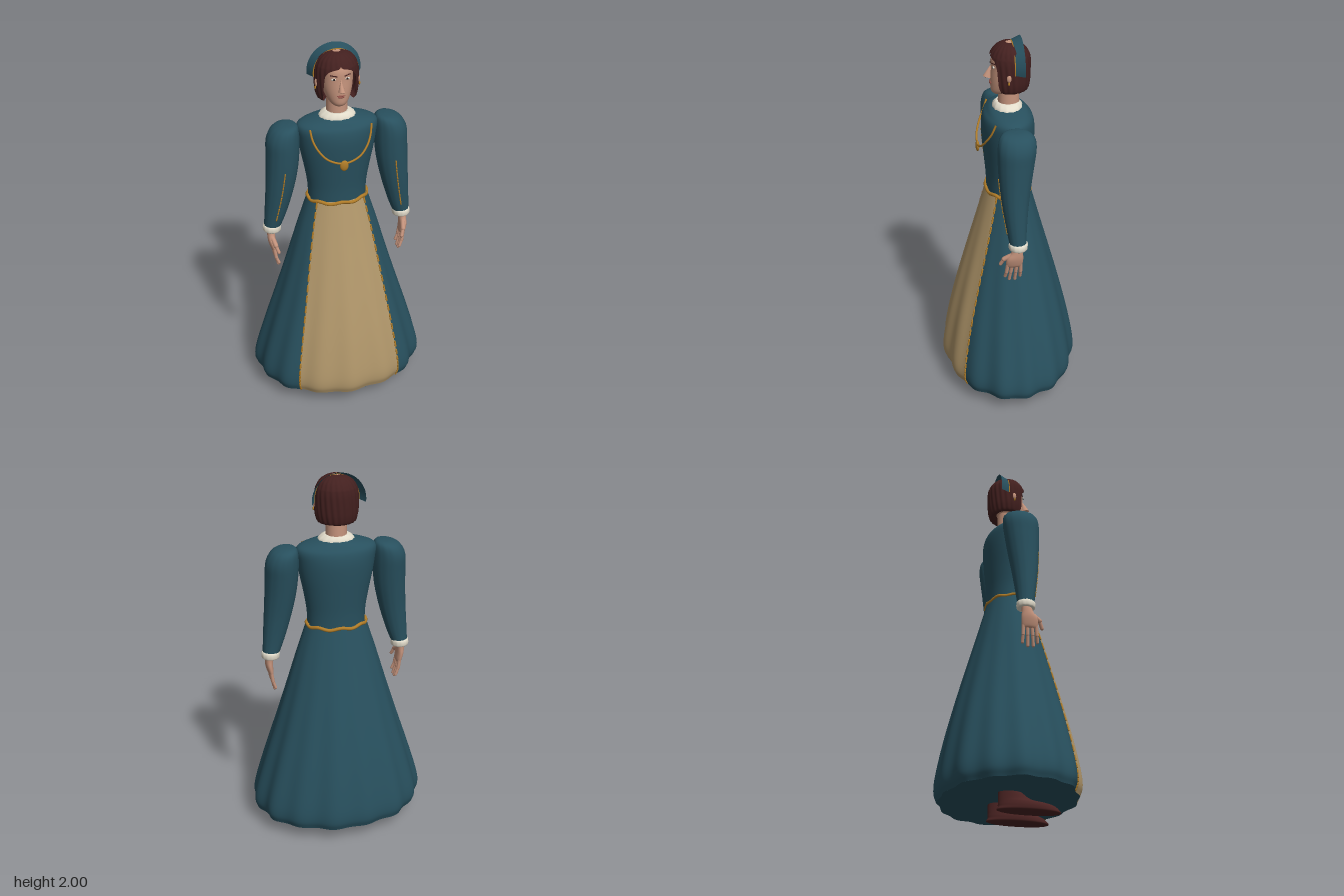
import * as THREE from 'three';

const mat = (name, color, side = THREE.FrontSide) => {
  const m = new THREE.MeshStandardMaterial({ color, side });
  m.name = name;
  return m;
};
const V = (x, y, z) => new THREE.Vector3(x, y, z);

// Surface through a grid of points; rows run upward, columns anticlockwise from above.
function grid(rows, cols, closed, fn) {
  const pos = [], idx = [], w = closed ? cols : cols + 1;
  for (let i = 0; i <= rows; i++) for (let j = 0; j < w; j++) pos.push(...fn(i / rows, j / cols));
  for (let i = 0; i < rows; i++) for (let j = 0; j < cols; j++) {
    const a = i * w + j, b = i * w + (j + 1) % w;
    idx.push(a, b, a + w, b, b + w, a + w);
  }
  const g = new THREE.BufferGeometry();
  g.setAttribute('position', new THREE.Float32BufferAttribute(pos, 3));
  g.setIndex(idx);
  g.computeVertexNormals();
  return g;
}

// Smooth lookup in a short table of sections, t from 0 to 1.
function sampler(table) {
  const f = new THREE.CubicInterpolant(table.map((_, i) => i), table.flat(), table[0].length);
  return t => Array.from(f.evaluate(t * (table.length - 1)));
}

// Elliptical sections [y, cx, rx, cz, rz] with optional pleats.
function loft(table, { steps = 4, cols = 40, folds = 0, depth = 0 } = {}) {
  const at = sampler(table);
  return grid((table.length - 1) * steps, cols, true, (t, u) => {
    const [y, cx, rx, cz, rz] = at(t), a = u * Math.PI * 2, k = 1 + depth * Math.cos(folds * a);
    return [cx + rx * k * Math.sin(a), y, cz + rz * k * Math.cos(a)];
  });
}

export function createModel() {
  const model = new THREE.Group();
  model.name = 'gownedFigure';
  const teal = mat('teal cloth', 0x28505e, THREE.DoubleSide);
  const tan = mat('tan panel', 0xb0966a, THREE.DoubleSide);
  const gold = mat('gold trim', 0xb07c28);
  const cream = mat('cream linen', 0xe2dccb, THREE.DoubleSide);
  const skin = mat('skin', 0xc4937c);
  const hair = mat('dark red hair', 0x43201f, THREE.DoubleSide);
  const leather = mat('shoe leather', 0x4a2322);
  const lips = mat('lips', 0x8f5249);
  const white = mat('eye white', 0xd8d2c8);
  const dark = mat('dark iris', 0x2a1c1a);

  const add = (name, geo, m, parent = model) => {
    const mesh = new THREE.Mesh(geo, m);
    mesh.name = name;
    parent.add(mesh);
    return mesh;
  };
  const ball = (name, m, p, s, parent) => {
    const b = add(name, new THREE.SphereGeometry(1, 16, 12), m, parent);
    b.position.set(...p);
    b.scale.set(...s);
    return b;
  };
  const rod = (name, m, p, q, r, parent) => {
    const c = add(name, new THREE.CapsuleGeometry(r, p.distanceTo(q), 3, 8), m, parent);
    c.position.copy(p).lerp(q, 0.5);
    c.quaternion.setFromUnitVectors(V(0, 1, 0), q.clone().sub(p).normalize());
    return c;
  };
  const tube = (name, m, pts, r, closed = false, parent = model) =>
    add(name, new THREE.TubeGeometry(new THREE.CatmullRomCurve3(pts, closed), 80, r, 8, closed), m, parent);

  // Skirt: sections [y, rx, rz, half angle of the front panel]
  const skirtAt = sampler([
    [0.08, 0.452, 0.348, 0.66], [0.13, 0.466, 0.363, 0.66], [0.22, 0.452, 0.357, 0.67],
    [0.4, 0.4, 0.323, 0.69], [0.6, 0.337, 0.275, 0.72], [0.8, 0.276, 0.221, 0.76],
    [1.0, 0.217, 0.165, 0.81], [1.18, 0.16, 0.116, 0.87]]);
  const skirtPoint = (t, a, out = 0) => {
    const [y, rx, rz] = skirtAt(t);
    const k = 1 + 0.017 * (1.2 - y) * (Math.cos(15 * a) + 0.5 * Math.cos(8 * a + 1));
    return [(rx * k + out) * Math.sin(a), y, (rz * k + out) * Math.cos(a)];
  };
  const between = (lo, hi) => (t, u) => {
    const p = skirtAt(t)[3];
    return skirtPoint(t, THREE.MathUtils.lerp(lo(p), hi(p), u));
  };
  add('skirt', grid(36, 110, false, between(p => p, p => 2 * Math.PI - p)), teal);
  add('skirtPanel', grid(36, 36, false, between(p => -p, p => p)), tan);
  add('skirtUnderside', grid(2, 120, true, (t, u) => {
    const [x, y, z] = skirtPoint(0, u * Math.PI * 2);
    return [x * t, y + 0.02 * (1 - t), z * t];
  }), teal);
  for (const s of [1, -1]) for (let i = 0; i < 24; i++) {
    const p = t => V(...skirtPoint(t, s * skirtAt(t)[3], 0.002));
    rod('skirtTrim', gold, p((i + 0.2) / 24), p((i + 0.75) / 24), 0.005);
  }

  // Bodice, belt and collar
  add('bodice', loft([
    [1.16, 0, 0.154, 0, 0.112], [1.25, 0, 0.158, 0, 0.115], [1.35, 0, 0.174, 0, 0.124],
    [1.45, 0, 0.194, 0, 0.133], [1.53, 0, 0.206, 0, 0.136], [1.585, 0, 0.212, 0, 0.127],
    [1.612, 0, 0.19, 0, 0.108], [1.632, 0, 0.12, 0, 0.088], [1.645, 0, 0.05, 0, 0.05]]), teal);
  const belt = [];
  for (let i = 0; i < 48; i++) {
    const a = i / 48 * Math.PI * 2;
    belt.push(V(0.16 * Math.sin(a), 1.172 + 0.005 * Math.cos(8 * a), 0.117 * Math.cos(a)));
  }
  tube('belt', gold, belt, 0.0095, true);
  add('collar', loft([
    [1.622, 0, 0.085, 0.002, 0.07], [1.632, 0, 0.096, 0.002, 0.077], [1.648, 0, 0.088, 0.002, 0.073],
    [1.664, 0, 0.062, 0.002, 0.06], [1.662, 0, 0.045, 0.002, 0.045]], { folds: 14, depth: 0.025 }), cream);

  // Necklace
  const half = [[0.16, 1.605, 0.085], [0.15, 1.55, 0.105], [0.125, 1.5, 0.13], [0.08, 1.455, 0.15]];
  tube('necklaceChain', gold, [...half.map(p => V(...p)), V(0, 1.43, 0.158),
    ...half.slice().reverse().map(([x, y, z]) => V(-x, y, z))], 0.0055);
  ball('pendant', gold, [0, 1.418, 0.158], [0.023, 0.03, 0.01]);

  // Head, neck and face
  const head = new THREE.Group();
  head.name = 'head';
  model.add(head);
  add('neck', new THREE.CylinderGeometry(0.052, 0.056, 0.14, 24), skin, head).position.set(0, 1.7, -0.005);
  add('face', loft([
    [1.708, 0, 0.001, 0.045, 0.001], [1.71, 0, 0.025, 0.045, 0.025], [1.727, 0, 0.046, 0.03, 0.055],
    [1.76, 0, 0.065, 0.01, 0.078], [1.8, 0, 0.076, 0, 0.088], [1.85, 0, 0.081, -0.005, 0.09],
    [1.9, 0, 0.083, -0.01, 0.092], [1.94, 0, 0.07, -0.013, 0.072], [1.965, 0, 0.035, -0.01, 0.035],
    [1.973, 0, 0.001, -0.008, 0.001]]), skin, head);
  const nose = add('nose', new THREE.ConeGeometry(0.018, 0.065, 12), skin, head);
  nose.position.set(0, 1.832, 0.094);
  nose.rotation.x = -0.28;
  nose.scale.z = 1.25;
  ball('noseTip', skin, [0, 1.806, 0.108], [0.013, 0.01, 0.013], head);
  ball('upperLip', lips, [0, 1.774, 0.087], [0.022, 0.004, 0.007], head);
  ball('lowerLip', lips, [0, 1.767, 0.087], [0.017, 0.005, 0.007], head);
  for (const s of [1, -1]) {
    ball('eye', white, [s * 0.034, 1.862, 0.077], [0.014, 0.006, 0.006], head);
    ball('iris', dark, [s * 0.034, 1.862, 0.0815], [0.0055, 0.0055, 0.003], head);
    rod('eyebrow', hair, V(s * 0.02, 1.878, 0.083), V(s * 0.05, 1.881, 0.069), 0.0028, head);
    ball('ear', skin, [s * 0.108, 1.825, 0.01], [0.009, 0.02, 0.012], head);
    ball('earring', gold, [s * 0.114, 1.8, 0.012], [0.005, 0.009, 0.005], head);
  }

  // Hair: sections [y, rx, rz, half angle of the opening round the face]
  const hairAt = sampler([
    [1.755, 0.055, 0.055, 1.1], [1.735, 0.093, 0.088, 0.98], [1.77, 0.108, 0.1, 0.86], [1.82, 0.112, 0.104, 0.82],
    [1.875, 0.111, 0.105, 0.75], [1.905, 0.107, 0.102, 0.5], [1.922, 0.101, 0.097, 0.03],
    [1.95, 0.084, 0.078, 0], [1.972, 0.05, 0.048, 0], [1.978, 0.02, 0.02, 0]]);
  add('hair', grid(45, 90, false, (t, u) => {
    const [y, rx, rz, p] = hairAt(t), open = Math.max(p, 0);
    const a = THREE.MathUtils.lerp(open, 2 * Math.PI - open, u);
    const k = 1 + 0.02 * Math.cos(22 * a + 18 * y);
    return [rx * k * Math.sin(a), y, -0.01 + rz * k * Math.cos(a)];
  }), hair, head);
  const crown = add('crownOfHead', new THREE.CircleGeometry(0.021, 20), skin, head);
  crown.rotation.x = -Math.PI / 2;
  crown.position.set(0, 1.977, -0.01);

  // Arched headdress flaring backward, with a gold front edge
  const arch = (u, t) => {
    const a = THREE.MathUtils.lerp(-0.12, Math.PI + 0.12, u);
    return [(0.116 + 0.024 * t) * Math.cos(a), 1.857 + (0.124 + 0.019 * t) * Math.sin(a), -0.02 - 0.048 * t];
  };
  add('headdress', grid(2, 48, false, (t, u) => arch(u, 1 - t)), teal, head);
  tube('headdressTrim', gold, Array.from({ length: 17 }, (_, i) => V(...arch(i / 16, 0))), 0.0028, false, head);

  // Arms and shoes, mirrored by s
  for (const s of [1, -1]) {
    const arm = new THREE.Group();
    arm.name = s > 0 ? 'leftArm' : 'rightArm';
    model.add(arm);
    const sleeve = [
      [1.01, 0.357, 0.042, 0.005, 0.042], [1.1, 0.337, 0.057, 0.01, 0.052], [1.23, 0.313, 0.072, 0.013, 0.068],
      [1.35, 0.296, 0.082, 0.01, 0.082], [1.45, 0.288, 0.086, 0.005, 0.092], [1.53, 0.284, 0.085, 0, 0.097],
      [1.583, 0.272, 0.07, -0.002, 0.086], [1.606, 0.258, 0.042, 0, 0.055], [1.611, 0.252, 0.001, 0, 0.001],
    ].map(([y, x, ...r]) => [y, s * x, ...r]);
    add('sleeve', loft(sleeve, { folds: 14, depth: 0.012 }), teal, arm);
    const at = sampler(sleeve);
    const seam = t => { const [y, x, , z, rz] = at(t); return V(x, y, z + rz * 1.012); };
    for (let i = 0; i < 14; i++) {
      const t = 0.1 + 0.022 * i;
      rod('sleeveTrim', gold, seam(t), seam(t + 0.012), 0.004, arm);
    }
    add('cuff', loft([
      [1.0, 0.357, 0.02, 0.005, 0.02], [0.993, 0.357, 0.043, 0.005, 0.043], [1.01, 0.357, 0.049, 0.005, 0.049],
      [1.028, 0.355, 0.047, 0.005, 0.047], [1.034, 0.353, 0.036, 0.005, 0.036],
    ].map(([y, x, ...r]) => [y, s * x, ...r]), { folds: 12, depth: 0.02 }), cream, arm);

    // Hand
    add('palm', loft([
      [0.885, 0.355, 0.008, 0.025, 0.036], [0.9, 0.357, 0.016, 0.025, 0.043], [0.94, 0.364, 0.02, 0.022, 0.043],
      [0.975, 0.364, 0.021, 0.012, 0.03], [1.01, 0.36, 0.022, 0.006, 0.026],
    ].map(([y, x, ...r]) => [y, s * x, ...r]), { cols: 20 }), skin, arm);
    const tips = [[0.059, 0.82, 0.07], [0.036, 0.8, 0.048], [0.013, 0.798, 0.019], [-0.008, 0.815, -0.009]];
    for (const [z, y, tz] of tips) {
      const knuckle = V(s * 0.35, 0.852, (z + tz) / 2);
      rod('finger', skin, V(s * 0.357, 0.9, z), knuckle, 0.0098, arm);
      rod('fingertip', skin, knuckle, V(s * 0.337, y, tz), 0.0085, arm);
    }
    rod('thumbBase', skin, V(s * 0.362, 0.962, 0.035), V(s * 0.352, 0.935, 0.078), 0.013, arm);
    rod('thumbTip', skin, V(s * 0.352, 0.935, 0.078), V(s * 0.34, 0.9, 0.094), 0.0095, arm);

    add('shoe', loft([
      [0, 0, 0.001, 0.08, 0.001], [0, 0, 0.052, 0.08, 0.153], [0.02, 0, 0.061, 0.078, 0.156],
      [0.042, 0, 0.057, 0.06, 0.138], [0.06, 0, 0.046, 0.01, 0.088], [0.1, 0, 0.04, -0.02, 0.056],
    ].map(([y, , ...r]) => [y, s * 0.112, ...r])), leather);
  }
  return model;
}
